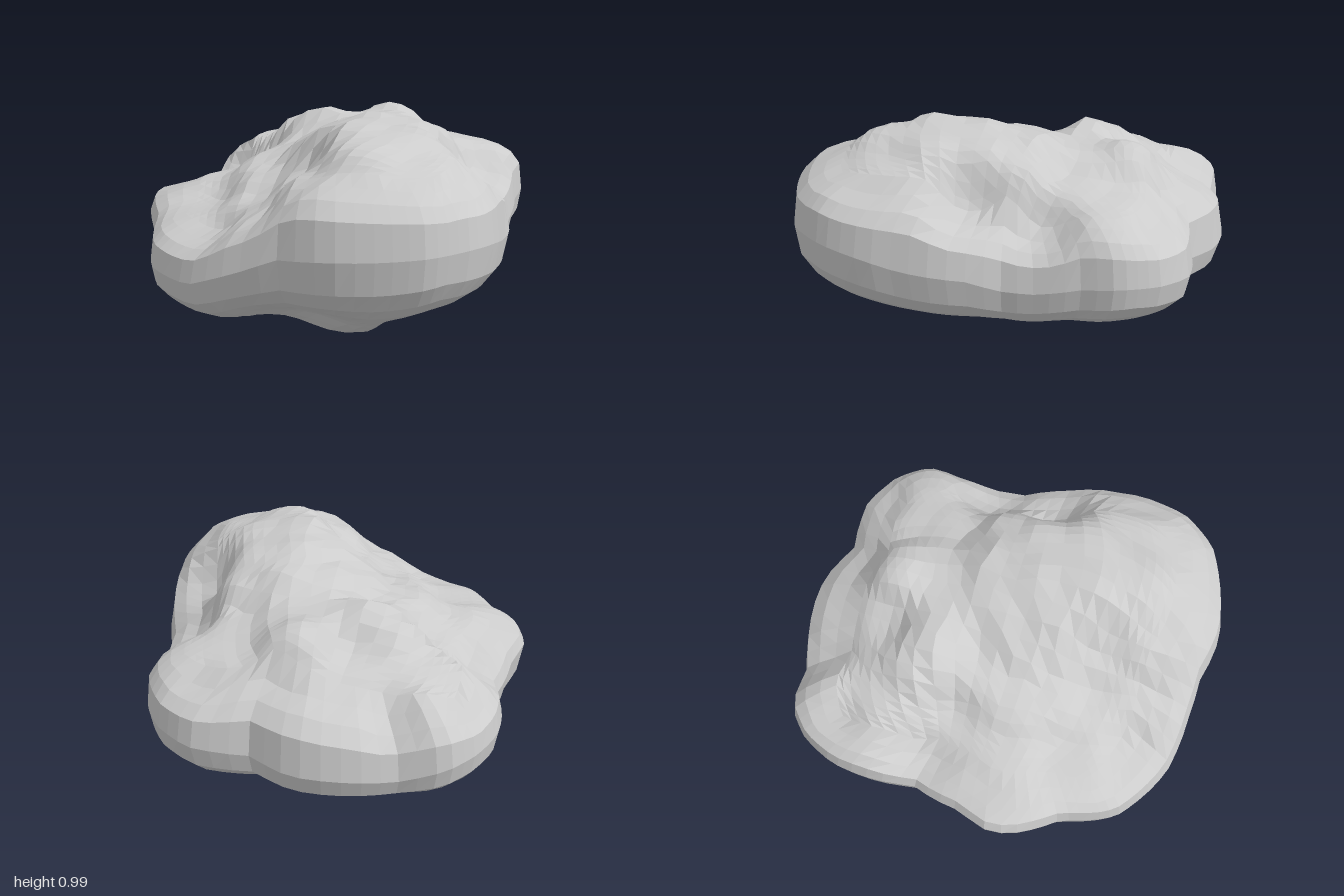
import * as THREE from 'three';

// Widest outline of the boulder: x, z and the height of its rim
const RIM = [
  [0.86, 0, 0.47], [0.9, 0.3, 0.5], [0.91, 0.46, 0.54], [0.86, 0.68, 0.57], [0.72, 0.86, 0.57],
  [0.55, 0.94, 0.56], [0.32, 1, 0.55], [0.08, 0.96, 0.52], [-0.1, 0.96, 0.44], [-0.36, 0.93, 0.34],
  [-0.64, 0.75, 0.33], [-0.75, 0.5, 0.4], [-0.89, 0.3, 0.46], [-0.92, 0.19, 0.48], [-0.86, 0.02, 0.46],
  [-0.8, -0.23, 0.42], [-0.82, -0.63, 0.47], [-0.74, -0.8, 0.47], [-0.62, -0.91, 0.45], [-0.43, -0.92, 0.38],
  [-0.1, -1, 0.4], [0.05, -0.99, 0.4], [0.24, -0.9, 0.42], [0.52, -0.92, 0.45], [0.68, -0.82, 0.47],
  [0.78, -0.66, 0.48], [0.78, -0.5, 0.46], [0.8, -0.3, 0.42], [0.81, -0.14, 0.42],
].map(([x, z, y]) => ({ a: (Math.atan2(z, x) + 2 * Math.PI) % (2 * Math.PI), r: Math.hypot(x, z), y }));

// Humps and hollows of the upper side: x, z, height
const TOP = [
  // main hump, front right
  [0.2, 0.35, 1.01], [0.2, 0.1, 1.0], [0.25, -0.12, 0.96], [0.3, 0.55, 0.97], [0.45, 0.3, 0.98],
  [0.42, 0.03, 0.97], [0.62, 0.45, 0.91], [0.82, 0.45, 0.83], [0.3, 0.85, 0.88], [0.65, 0.75, 0.88],
  [0.05, 0.2, 0.96], [0.02, 0, 0.92], [0.08, 0.7, 0.84], [0.46, -0.14, 0.92],
  // hollow on the right flank
  [0.68, 0, 0.69], [0.66, -0.25, 0.63], [0.42, -0.34, 0.8],
  // back humps and back shoulder
  [0.08, -0.57, 0.93], [0.12, -0.36, 0.87], [-0.22, -0.3, 0.92], [-0.35, -0.35, 0.85], [-0.16, -0.58, 0.77],
  [0.4, -0.6, 0.78], [0.6, -0.6, 0.78], [0.5, -0.8, 0.7], [0.1, -0.82, 0.74], [-0.2, -0.82, 0.71],
  [-0.52, -0.45, 0.74], [-0.5, -0.72, 0.74], [-0.65, -0.66, 0.66], [-0.36, -0.84, 0.62],
  // left terrace and the step in front of it
  [-0.22, -0.08, 0.78], [-0.5, -0.15, 0.63], [-0.68, -0.2, 0.53], [-0.09, 0.12, 0.86], [-0.3, 0.12, 0.74],
  [-0.25, 0.3, 0.71], [-0.2, 0.5, 0.63], [-0.04, 0.45, 0.75], [-0.1, 0.75, 0.65], [-0.35, 0.75, 0.52],
  [-0.5, 0.45, 0.57], [-0.62, 0.15, 0.63], [-0.8, 0.1, 0.57],
];

// Humps and hollows of the underside
const UNDER = [
  [0.2, 0.45, -0.01], [0.2, 0.2, 0], [0, 0, 0.03], [-0.4, 0.4, 0.04], [-0.45, 0.1, 0.04],
  [-0.45, 0.62, 0.04], [-0.62, 0.25, 0.06], [0.6, 0.4, 0.12], [0.6, 0, 0.12], [0.3, -0.1, 0.06],
  [0, -0.4, 0.08], [0.5, -0.5, 0.14], [-0.45, -0.4, 0.09], [0, -0.75, 0.14], [-0.5, -0.75, 0.15],
  [0.1, 0.75, 0.13],
];

// Smooth blend of scattered heights
function blend(points, x, z) {
  let sum = 0, total = 0;
  for (const [px, pz, h] of points) {
    const w = 1 / ((px - x) ** 2 + (pz - z) ** 2 + 0.014) ** 2.5;
    sum += w * h;
    total += w;
  }
  return sum / total;
}

// Radius and height of the rim at an angle
function rimAt(angle) {
  const a = (angle + 2 * Math.PI) % (2 * Math.PI);
  let i = RIM.findIndex((p) => p.a > a);
  if (i < 0) i = RIM.length;
  const p = RIM[i - 1], q = RIM[i % RIM.length];
  const t = (a - p.a) / ((i === RIM.length ? 2 * Math.PI : q.a) - p.a);
  return { r: p.r + (q.r - p.r) * t, y: p.y + (q.y - p.y) * t };
}

export function createModel() {
  // A subdivided cube, rounded and then pulled to the rim and the height fields
  const geometry = new THREE.BoxGeometry(2, 2, 2, 22, 8, 22);
  const pos = geometry.attributes.position;
  const d = new THREE.Vector3();
  for (let i = 0; i < pos.count; i++) {
    d.fromBufferAttribute(pos, i).normalize();
    const s = Math.min(1, Math.hypot(d.x, d.z));
    const angle = s < 1e-6 ? 0 : Math.atan2(d.z, d.x);
    const rim = rimAt(angle);
    const x = Math.cos(angle) * rim.r * s, z = Math.sin(angle) * rim.r * s;
    const upper = d.y >= 0;
    const n = upper ? 3.6 : 2.6;
    const lift = Math.max(0, 1 - s ** n) ** (1 / n);
    const target = blend(upper ? TOP : UNDER, x, z);
    pos.setXYZ(i, x, rim.y + (target - rim.y) * lift, z);
  }

  // Settle on the ground
  geometry.computeBoundingBox();
  geometry.translate(0, -geometry.boundingBox.min.y, 0);
  geometry.computeVertexNormals();

  const boulder = new THREE.Mesh(geometry, new THREE.MeshStandardMaterial({ color: 0xcccccc, flatShading: true }));
  boulder.name = 'boulder';
  const group = new THREE.Group();
  group.name = 'rock';
  group.add(boulder);
  return group;
}
